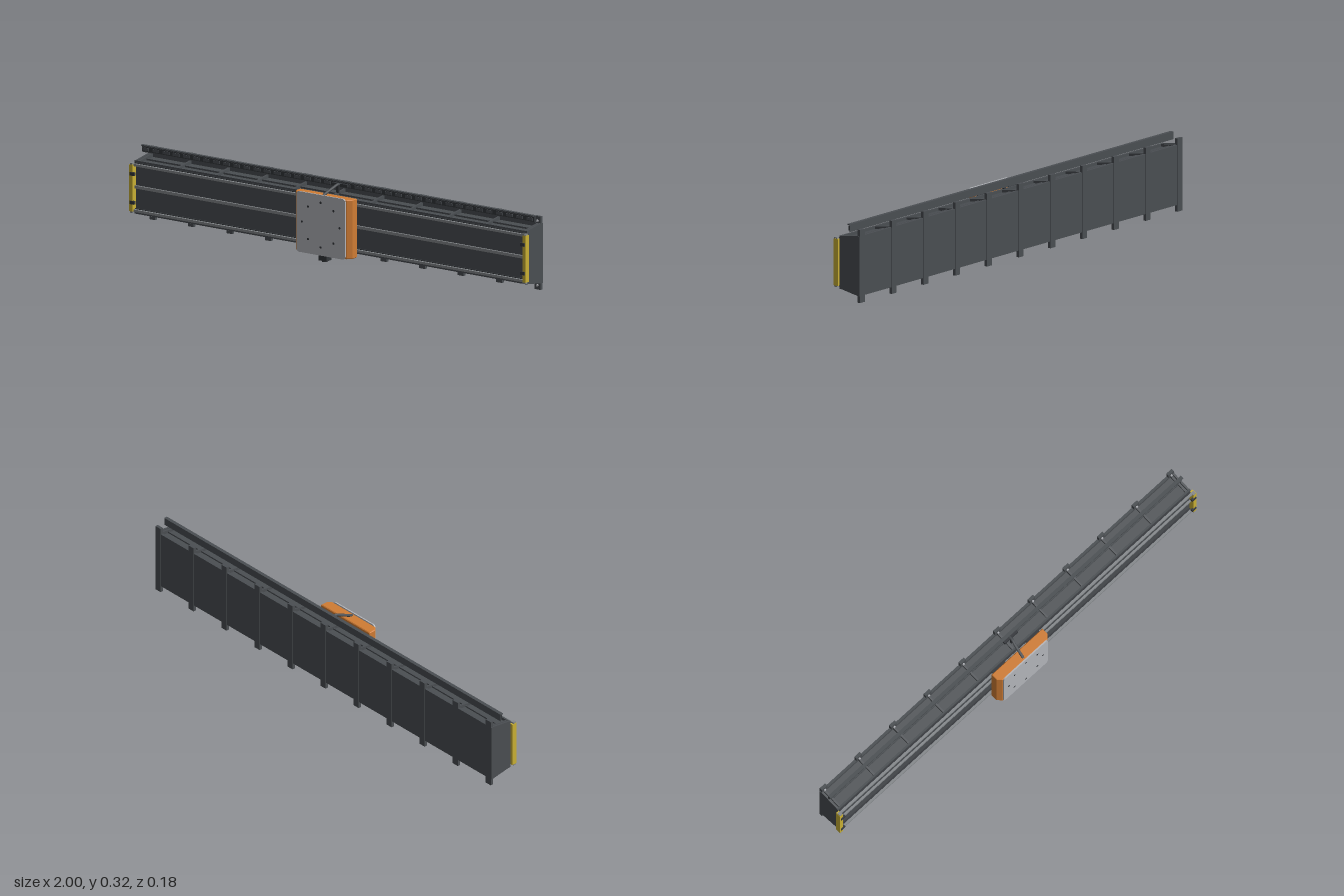
import * as THREE from 'three';

const mat = (name, color) => {
  const m = new THREE.MeshStandardMaterial({ color });
  m.name = name;
  return m;
};

export function createModel() {
  const steel = mat('dark steel', 0x4a4e52);
  const black = mat('black fittings', 0x33363a);
  const rail = mat('rail grey', 0x85898c);
  const plateGrey = mat('plate grey', 0xb4b6bb);
  const orange = mat('orange', 0xd07c34);
  const yellow = mat('yellow', 0xc9b034);

  const model = new THREE.Group();
  model.name = 'linearTrack';

  const add = (name, geometry, material, x = 0, y = 0, z = 0) => {
    const m = new THREE.Mesh(geometry, material);
    m.name = name;
    m.position.set(x, y, z);
    model.add(m);
    return m;
  };
  // box given by its limits on each axis
  const box = (name, material, [x0, x1], [y0, y1], [z0, z1]) =>
    add(name, new THREE.BoxGeometry(x1 - x0, y1 - y0, z1 - z0), material,
      (x0 + x1) / 2, (y0 + y1) / 2, (z0 + z1) / 2);
  // [z, y] profile extruded along x, centred on x
  const profile = (name, material, points, length, x = 0) => {
    const shape = new THREE.Shape(points.map(([z, y]) => new THREE.Vector2(z, y)));
    const g = new THREE.ExtrudeGeometry(shape, { depth: length, bevelEnabled: false });
    g.rotateY(-Math.PI / 2).translate(length / 2, 0, 0);
    return add(name, g, material, x);
  };
  // short cylinder pointing along z
  const bolt = (name, material, r, depth, x, y, z) =>
    add(name, new THREE.CylinderGeometry(r, r, depth, 12).rotateX(Math.PI / 2), material, x, y, z);

  // beam: tapered box with a back plate and front flange
  profile('beam', steel, [[-0.077, 0.046], [0.018, 0.056], [0.018, 0.254], [-0.077, 0.264]], 1.97);
  box('backPlate', steel, [-0.99, 0.99], [0.03, 0.28], [-0.086, -0.075]);
  box('frontPlate', steel, [-0.99, 0.99], [0.044, 0.266], [0.012, 0.02]);
  for (const s of [-1, 1]) {
    profile('endPlate', steel, [[-0.077, 0.03], [0.019, 0.045], [0.019, 0.265], [-0.077, 0.28]], 0.008, s * 0.985);
  }

  // ribs and mounting feet at eleven stations
  for (let i = -5; i <= 5; i++) {
    const x = i * 0.1945;
    profile('rib', steel, [[-0.077, 0.031], [0.016, 0.046], [0.016, 0.264], [-0.077, 0.279]], 0.008, x);
    box('mountingFoot', steel, [x - 0.015, x + 0.015], [0.002, 0.307], [-0.088, -0.075]);
    for (const y of [0.02, 0.288]) bolt('footBolt', plateGrey, 0.005, 0.006, x, y, -0.0725);
  }
  // long stiffeners on top and underside
  box('topStiffener', steel, [-0.98, 0.98], [0.255, 0.266], [-0.036, -0.03]);
  box('bottomStiffener', steel, [-0.98, 0.98], [0.044, 0.056], [-0.036, -0.03]);

  // guide rails and gear rack on the front
  for (const y of [0.06, 0.25]) {
    box('railBase', black, [-0.985, 0.985], [y - 0.008, y + 0.008], [0.019, 0.026]);
    box('guideRail', rail, [-0.985, 0.985], [y - 0.005, y + 0.005], [0.025, 0.036]);
  }
  box('gearRack', rail, [-0.985, 0.985], [0.151, 0.163], [0.019, 0.028]);

  // yellow end stops with bumpers
  for (const s of [-1, 1]) {
    const span = (a, b) => (s > 0 ? [a, b] : [-b, -a]);
    box('endStop', yellow, span(0.984, 1), [0.057, 0.252], [0.02, 0.043]);
    for (const y of [0.055, 0.254]) box('endStopCap', rail, span(0.985, 0.998), [y - 0.004, y + 0.004], [0.027, 0.042]);
    for (const y of [0.095, 0.214]) box('bumper', black, span(0.974, 0.996), [y - 0.007, y + 0.007], [0.037, 0.047]);
  }

  // carriage housing, seen from above as a box with cut front corners
  const housing = new THREE.Shape([
    [-0.143, -0.035], [0.143, -0.035], [0.143, -0.064], [0.126, -0.083], [-0.126, -0.083], [-0.143, -0.064],
  ].map(([x, z]) => new THREE.Vector2(x, z)).reverse());
  const housingGeo = new THREE.ExtrudeGeometry(housing, {
    depth: 0.24, bevelEnabled: true, bevelThickness: 0.003, bevelSize: 0.003, bevelOffset: -0.003, bevelSegments: 1,
  });
  add('carriageHousing', housingGeo.rotateX(-Math.PI / 2), orange, 0, 0.035, 0);
  for (const x of [-0.095, 0.095]) for (const y of [0.06, 0.25]) {
    box('slideBlock', black, [x - 0.035, x + 0.035], [y - 0.014, y + 0.014], [0.022, 0.04]);
  }

  // tool plate with rounded corners and bolt holes
  const w = 0.123, h = 0.126, r = 0.014;
  const p = new THREE.Shape();
  p.moveTo(-w + r, -h);
  p.lineTo(w - r, -h); p.absarc(w - r, -h + r, r, -Math.PI / 2, 0);
  p.lineTo(w, h - r); p.absarc(w - r, h - r, r, 0, Math.PI / 2);
  p.lineTo(-w + r, h); p.absarc(-w + r, h - r, r, Math.PI / 2, Math.PI);
  p.lineTo(-w, -h + r); p.absarc(-w + r, -h + r, r, Math.PI, Math.PI * 1.5);
  add('toolPlate', new THREE.ExtrudeGeometry(p, { depth: 0.006, bevelEnabled: false, curveSegments: 6 }),
    plateGrey, 0, 0.156, 0.082);
  const holes = [[0, 0.25], [0.064, 0.225], [-0.064, 0.225], [0.095, 0.158],
    [-0.095, 0.158], [0.064, 0.09], [-0.064, 0.09], [0, 0.064]];
  for (const [x, y] of holes) bolt('plateBolt', black, 0.005, 0.003, x, y, 0.0875);

  // drive motor below the carriage
  box('motor', black, [-0.02, 0.02], [0.006, 0.034], [0.043, 0.077]);
  add('motorCap', new THREE.CylinderGeometry(0.012, 0.012, 0.008, 16), black, 0, 0.004, 0.06);

  // bus bar along the top with a row of clips
  box('busBarWeb', steel, [-0.99, 0.99], [0.29, 0.321], [-0.037, -0.034]);
  box('busBarFlange', steel, [-0.99, 0.99], [0.318, 0.322], [-0.037, -0.022]);
  box('busBarCore', black, [-0.99, 0.99], [0.295, 0.315], [-0.034, -0.028]);
  for (let i = -19; i <= 19; i++) {
    box('busBarClip', steel, [i * 0.051 - 0.016, i * 0.051 + 0.016], [0.299, 0.311], [-0.029, -0.025]);
  }

  // collector arm from the carriage to the bus bar
  const path = new THREE.CatmullRomCurve3([
    [0, 0.276, 0.072], [0.002, 0.283, 0.058], [0.009, 0.3, 0.015], [0.013, 0.308, -0.004], [0.015, 0.307, -0.026],
  ].map((v) => new THREE.Vector3(...v)));
  add('collectorArm', new THREE.TubeGeometry(path, 20, 0.006, 10), steel);
  box('collectorPost', black, [0.008, 0.02], [0.275, 0.31], [-0.012, -0.005]);
  box('collectorShoe', black, [-0.02, 0.055], [0.3, 0.312], [-0.026, -0.014]);

  return model;
}
